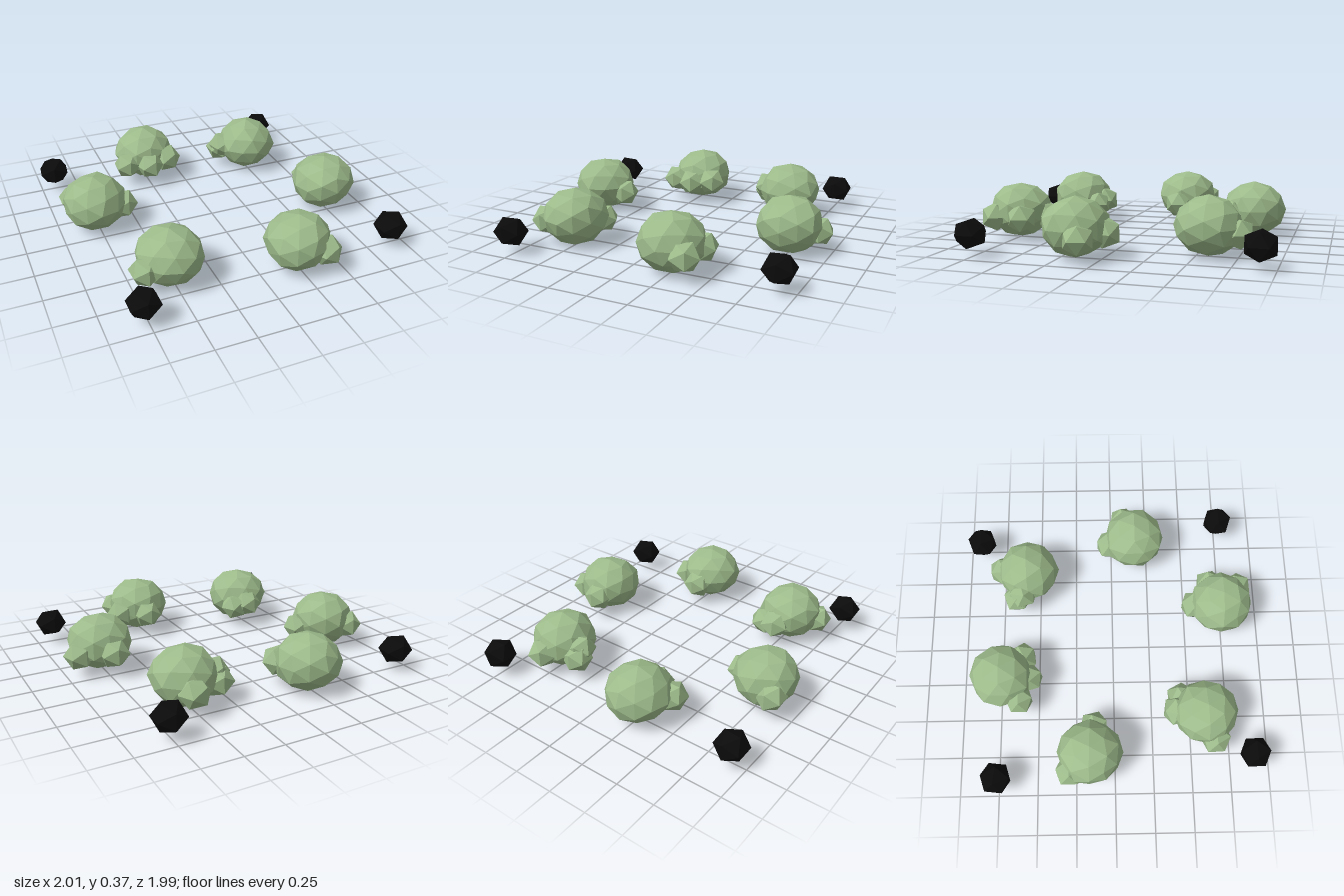
import * as THREE from 'three';

const green = new THREE.MeshStandardMaterial({ color: 0x9dbb8b, flatShading: true });
green.name = 'sageGreen';
const black = new THREE.MeshStandardMaterial({ color: 0x0b0b0b, flatShading: true });
black.name = 'black';

// Repeatable value in -1..1 for a vertex direction
function wobble(x, y, z, seed) {
  const s = Math.sin(Math.round(x * 50) * 12.99 + Math.round(y * 50) * 78.23 +
    Math.round(z * 50) * 37.72 + seed * 4.1) * 4375.85;
  return (s - Math.floor(s)) * 2 - 1;
}

// Low-poly ball with slightly uneven corners
function lump(radius, detail, amount, seed, squash) {
  const geo = new THREE.IcosahedronGeometry(1, detail);
  const p = geo.attributes.position;
  for (let i = 0; i < p.count; i++) {
    const x = p.getX(i), y = p.getY(i), z = p.getZ(i);
    const r = radius * (1 + amount * wobble(x, y, z, seed));
    p.setXYZ(i, x * r, y * r * squash, z * r);
  }
  geo.computeVertexNormals();
  return geo;
}

function add(parent, geo, material, name, x, y, z, turn = 0) {
  const mesh = new THREE.Mesh(geo, material);
  mesh.name = name;
  mesh.position.set(x, y, z);
  mesh.rotation.y = turn;
  parent.add(mesh);
}

export function createModel() {
  const model = new THREE.Group();
  model.name = 'bushRing';

  // Each bush: centre x, z, then the x, y, z of its small buds
  const bushes = [
    { at: [-0.24, -0.735], buds: [[-0.4, 0.16, -0.62], [-0.25, 0.16, -0.56], [-0.11, 0.17, -0.6]] },
    { at: [0.51, -0.575], buds: [[0.33, 0.15, -0.65], [0.34, 0.19, -0.61], [0.53, 0.16, -0.75]] },
    { at: [-0.76, -0.16], buds: [[-0.87, 0.17, -0.29], [-0.58, 0.15, -0.13]] },
    { at: [0.75, 0.16], buds: [[0.72, 0.16, -0.01], [0.915, 0.15, 0.085]] },
    { at: [-0.51, 0.59], buds: [[-0.68, 0.16, 0.65], [-0.49, 0.17, 0.41], [-0.4, 0.15, 0.44]] },
    { at: [0.25, 0.74], buds: [[0.25, 0.16, 0.56], [0.405, 0.16, 0.67], [0.38, 0.16, 0.86]] },
  ];
  bushes.forEach(({ at, buds }, i) => {
    const bush = new THREE.Group();
    bush.name = 'bush' + (i + 1);
    add(bush, lump(0.207, 1, 0.035, i + 1, 0.87), green, 'crown', at[0], 0.193, at[1], i * 1.05);
    buds.forEach(([x, y, z], j) =>
      add(bush, lump(0.1, 0, 0.04, i * 3 + j, 0.98), green, 'bud', x, y, z, j * 0.25));
    model.add(bush);
  });

  // Dark stones at the four outer corners
  const stone = lump(0.106, 0, 0, 0, 0.92);
  [[-0.905, -0.76, -0.12], [0.76, -0.91, 0], [0.9, 0.76, 0.04], [-0.77, 0.9, 0]]
    .forEach(([x, z, turn]) => add(model, stone, black, 'cornerStone', x, 0.146, z, turn));

  return model;
}
